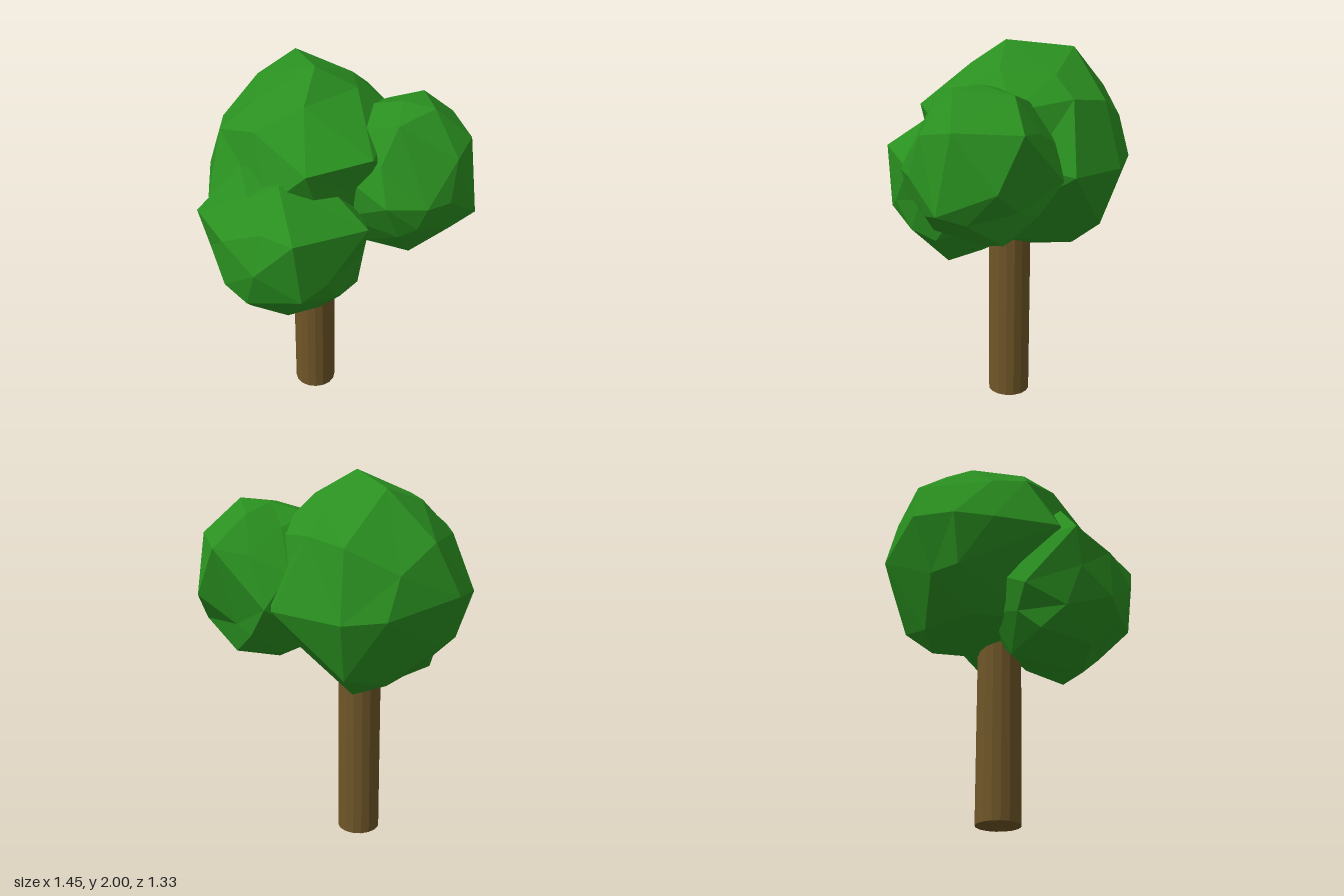
import * as THREE from 'three';

const leafMaterial = new THREE.MeshStandardMaterial({ color: 0x2a9020, flatShading: true });
const barkMaterial = new THREE.MeshStandardMaterial({ color: 0x6f5628, flatShading: true });

// Small seeded generator for the uneven surface
function seeded(seed) {
  return () => {
    seed = (seed * 16807) % 2147483647;
    return seed / 2147483647;
  };
}

// Faceted foliage clump: a roughened icosphere whose main corners are pulled to given points
function clump(name, center, radius, seed, corners) {
  const geometry = new THREE.IcosahedronGeometry(1, 1);
  const pos = geometry.attributes.position;
  const c = new THREE.Vector3(...center);
  const random = seeded(seed);
  const v = new THREE.Vector3();
  const keyOf = (p) => p.toArray().map((n) => Math.round(n * 100)).join();

  // Shared vertices, so neighbouring faces stay joined
  const shared = new Map();
  for (let i = 0; i < pos.count; i++) {
    v.fromBufferAttribute(pos, i);
    if (!shared.has(keyOf(v))) shared.set(keyOf(v), { dir: v.clone(), target: null });
  }

  // Each corner takes the nearest free vertex
  for (const corner of corners) {
    const target = new THREE.Vector3(...corner);
    const dir = target.clone().sub(c).normalize();
    let best = null;
    for (const s of shared.values()) {
      if (!s.target && (!best || s.dir.dot(dir) > best.dir.dot(dir))) best = s;
    }
    best.target = target;
  }

  // Remaining vertices get a slight random depth
  for (const s of shared.values()) {
    const r = radius * (0.94 + 0.1 * random());
    if (!s.target) s.target = s.dir.clone().multiplyScalar(r).add(c);
  }
  for (let i = 0; i < pos.count; i++) {
    const t = shared.get(keyOf(v.fromBufferAttribute(pos, i))).target;
    pos.setXYZ(i, t.x, t.y, t.z);
  }
  geometry.computeVertexNormals();
  const mesh = new THREE.Mesh(geometry, leafMaterial);
  mesh.name = name;
  return mesh;
}

export function createModel() {
  const tree = new THREE.Group();
  tree.name = 'tree';

  // Trunk, reaching into the foliage
  const trunk = new THREE.Mesh(new THREE.CylinderGeometry(0.115, 0.115, 1.2, 16), barkMaterial);
  trunk.name = 'trunk';
  trunk.position.set(-0.145, 0.6, -0.055);
  tree.add(trunk);

  // Large crown
  tree.add(clump('mainFoliage', [-0.2, 1.44, -0.12], 0.53, 11, [
    [-0.12, 2.0, -0.04], [-0.34, 1.96, -0.32], [-0.59, 1.73, -0.38], [-0.71, 1.47, -0.35],
    [-0.42, 1.4, -0.62], [-0.21, 1.38, -0.67], [0.15, 1.4, -0.6], [0.0, 1.75, -0.5],
    [-0.68, 1.42, 0.07], [-0.54, 1.4, 0.37], [-0.54, 1.7, 0.2], [-0.31, 1.76, 0.29],
    [0.01, 1.64, 0.42], [0.27, 1.67, 0.2], [-0.1, 1.87, 0.16], [-0.66, 1.19, -0.12],
    [-0.2, 1.07, -0.57], [-0.2, 0.89, -0.17], [-0.2, 0.94, -0.41],
  ]));

  // Low clump at the front
  tree.add(clump('frontFoliage', [-0.16, 1.18, 0.26], 0.41, 23, [
    [-0.56, 1.37, 0.46], [-0.17, 1.19, 0.66], [0.03, 1.39, 0.64], [0.29, 1.35, 0.31],
    [-0.37, 1.6, 0.34], [-0.13, 1.57, 0.42], [-0.12, 0.77, 0.38], [0.01, 0.77, 0.25],
    [-0.47, 0.88, 0.25], [0.2, 0.95, 0.2], [-0.58, 1.08, 0.2], [-0.24, 0.98, 0.61],
    [0.15, 1.12, 0.5],
  ]));

  // Clump at the side
  tree.add(clump('sideFoliage', [0.3, 1.43, -0.15], 0.4, 37, [
    [0.71, 1.28, -0.16], [0.48, 1.84, -0.11], [0.35, 1.8, 0.06], [0.35, 1.81, -0.37],
    [0.65, 1.67, -0.21], [0.6, 1.4, -0.43], [0.48, 1.66, -0.5], [0.54, 1.43, 0.16],
    [0.36, 1.45, 0.26], [0.27, 1.01, -0.15], [0.2, 1.39, -0.56], [0.43, 1.14, -0.2],
    [0.4, 1.26, -0.42], [0.4, 1.25, 0.17],
  ]));

  return tree;
}
